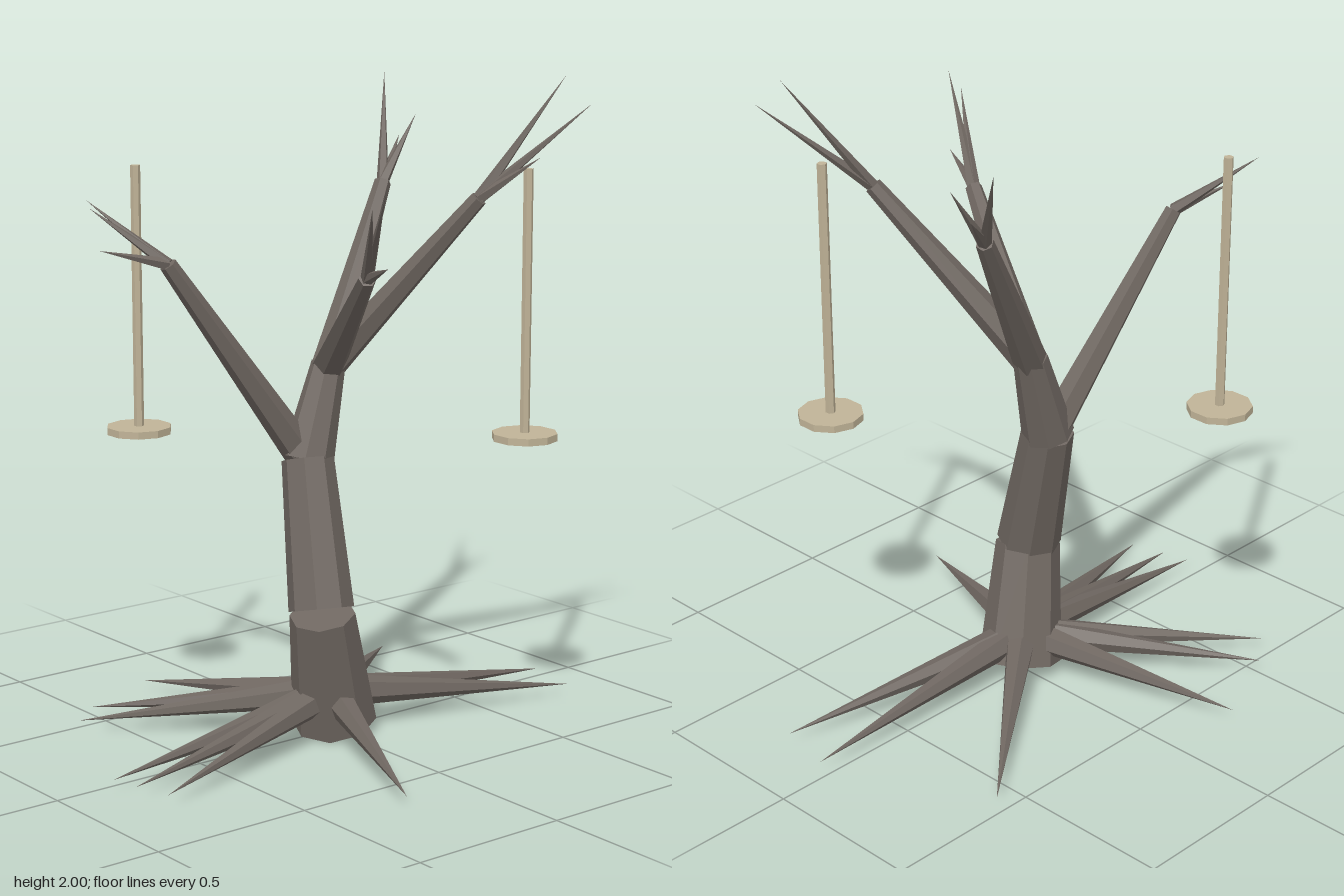
import * as THREE from 'three';

export function createModel() {
  const tree = new THREE.Group();
  tree.name = 'swingTree';
  const bark = new THREE.MeshStandardMaterial({ color: 0x6f6761, flatShading: true });
  bark.name = 'bark';
  const wood = new THREE.MeshStandardMaterial({ color: 0xc0b397, flatShading: true });
  wood.name = 'paleWood';
  const UP = new THREE.Vector3(0, 1, 0);

  // Tapered limb running from point a to point b
  function limb(name, a, b, r0, r1, sides, material = bark, parent = tree) {
    const from = new THREE.Vector3(...a);
    const dir = new THREE.Vector3(...b).sub(from);
    const length = dir.length();
    const geometry = r1 > 0
      ? new THREE.CylinderGeometry(r1, r0, length, sides)
      : new THREE.ConeGeometry(r0, length, sides);
    geometry.translate(0, length / 2, 0);
    const mesh = new THREE.Mesh(geometry, material);
    mesh.name = name;
    mesh.position.copy(from);
    mesh.quaternion.setFromUnitVectors(UP, dir.normalize());
    parent.add(mesh);
    return mesh;
  }

  // Trunk in three bent sections
  limb('trunkBase', [0, 0.037, 0.01], [-0.09, 0.4, 0.065], 0.13, 0.1, 8);
  limb('trunkMiddle', [-0.09, 0.415, 0.06], [-0.045, 0.85, -0.062], 0.1, 0.08, 8);
  limb('trunkTop', [-0.045, 0.845, -0.062], [0.05, 1.13, -0.08], 0.08, 0.052, 8);

  // Branches, each ending in three pointed twigs
  const fork = [0.05, 1.12, -0.08];
  const branches = [
    { start: fork, end: [0.315, 1.645, 0.295],
      tips: [[0.56, 2.0, 0.4], [0.595, 1.92, 0.475], [0.43, 1.77, 0.435]] },
    { start: fork, end: [0.385, 1.64, -0.23],
      tips: [[0.585, 1.955, -0.465], [0.535, 1.84, -0.25], [0.535, 1.77, -0.33]] },
    { start: fork, end: [-0.19, 1.47, 0.395],
      tips: [[-0.345, 1.745, 0.66], [-0.35, 1.7, 0.61], [-0.265, 1.525, 0.575]] },
    { start: [-0.06, 0.87, -0.08], end: [-0.477, 1.47, -0.165],
      tips: [[-0.625, 1.65, -0.365], [-0.635, 1.63, -0.335], [-0.67, 1.52, -0.23]] },
  ];
  for (const { start, end, tips } of branches) {
    const group = new THREE.Group();
    group.name = 'branch';
    tree.add(group);
    limb('bough', start, end, 0.052, 0.026, 6, bark, group);
    for (const tip of tips) limb('twig', end, tip, 0.02, 0, 5, bark, group);
  }

  // Roots spreading to pointed tips on the ground, given as x and z
  const rootTips = [
    [-0.835, 0.04], [-0.82, 0.13], [-0.785, 0.24], [-0.265, 0.668], [0.8, 0.205],
    [0.835, 0.025], [0.6, -0.48], [-0.235, -0.67], [-0.515, -0.55], [-0.62, -0.465],
  ];
  for (const [x, z] of rootTips) limb('root', [-0.01, 0.13, 0.01], [x, 0.037, z], 0.052, 0, 6);

  // Two hanging disc swings with a pole through the seat
  for (const [x, z] of [[-0.404, -0.432], [0.445, 0.367]]) {
    const swing = new THREE.Group();
    swing.name = 'swing';
    tree.add(swing);
    limb('swingSeat', [x, 0.916, z], [x, 0.938, z], 0.1, 0.1, 10, wood, swing);
    limb('swingPole', [x, 0.91, z], [x, 1.73, z], 0.015, 0.015, 6, wood, swing);
  }
  return tree;
}
